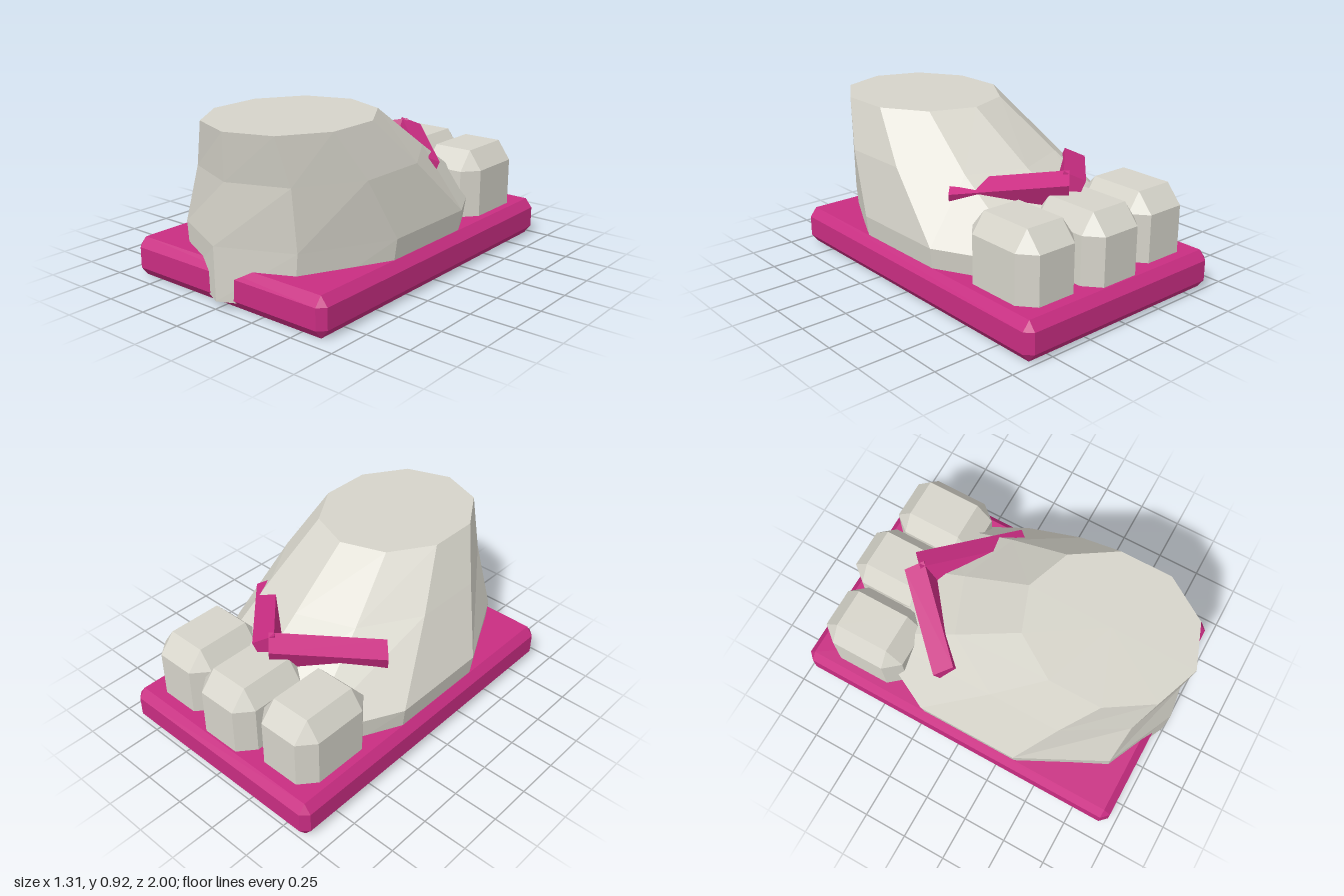
import * as THREE from 'three';
import { ConvexGeometry } from 'three/addons/geometries/ConvexGeometry.js';

const stone = new THREE.MeshStandardMaterial({ color: 0xd6d4ca, flatShading: true });
stone.name = 'pale stone';
const magenta = new THREE.MeshStandardMaterial({ color: 0xc92d82, flatShading: true });
magenta.name = 'magenta';

function part(name, geometry, material) {
  const mesh = new THREE.Mesh(geometry, material);
  mesh.name = name;
  return mesh;
}

// Box with every edge bevelled; sizes are full extents, b holds the bevel per axis
function bevelBox(w, h, d, [bx, by, bz]) {
  const points = [];
  for (const sx of [-1, 1]) for (const sy of [-1, 1]) for (const sz of [-1, 1]) {
    const x = w / 2, y = h / 2, z = d / 2;
    points.push(
      new THREE.Vector3(sx * x, sy * (y - by), sz * (z - bz)),
      new THREE.Vector3(sx * (x - bx), sy * y, sz * (z - bz)),
      new THREE.Vector3(sx * (x - bx), sy * (y - by), sz * z));
  }
  return new ConvexGeometry(points);
}

// Ten-sided faceted loft through elliptical rings, capped at both ends
function loft(rings, sides) {
  const at = (r, i) => {
    const a = (i / sides) * Math.PI * 2;
    return [r.x + r.rx * Math.sin(a), r.y, r.z + r.rz * Math.cos(a)];
  };
  const pos = [];
  const bottom = rings[0], top = rings[rings.length - 1];
  for (let i = 0; i < sides; i++) {
    for (let k = 0; k < rings.length - 1; k++) {
      const bl = at(rings[k], i), br = at(rings[k], i + 1);
      const tl = at(rings[k + 1], i), tr = at(rings[k + 1], i + 1);
      pos.push(...bl, ...br, ...tr, ...bl, ...tr, ...tl);
    }
    pos.push(top.x, top.y, top.z, ...at(top, i), ...at(top, i + 1));
    pos.push(bottom.x, bottom.y, bottom.z, ...at(bottom, i + 1), ...at(bottom, i));
  }
  const g = new THREE.BufferGeometry();
  g.setAttribute('position', new THREE.Float32BufferAttribute(pos, 3));
  g.computeVertexNormals();
  return g;
}

// Slanted, rolled strap bar; side is +1 for left, -1 for right
function strapGeometry(side) {
  const across = new THREE.Vector3(-0.08, 0.045, 0.08);
  const down = new THREE.Vector3(-0.034, -0.121, 0.034);
  const points = [];
  for (const end of [new THREE.Vector3(0.06, 0.645, -0.64), new THREE.Vector3(0.49, 0.58, -0.21)])
    for (const u of [0, 1]) for (const v of [0, 1]) {
      const p = end.clone().addScaledVector(across, u).addScaledVector(down, v);
      p.x *= side;
      points.push(p);
    }
  return new ConvexGeometry(points);
}

export function createModel() {
  const model = new THREE.Group();
  model.name = 'sandalledFoot';

  // Sole slab
  const sole = part('sole', bevelBox(1.31, 0.215, 1.955, [0.04, 0.05, 0.04]), magenta);
  sole.position.set(0, 0.1075, -0.0225);
  model.add(sole);

  // Foot, narrowing towards the ankle at the front
  model.add(part('foot', loft([
    { y: 0.04, x: 0, z: 0.07, rx: 0.62, rz: 0.925 },
    { y: 0.33, x: 0, z: 0.06, rx: 0.66, rz: 0.94 },
    { y: 0.66, x: 0.06, z: 0.32, rx: 0.54, rz: 0.65 },
    { y: 0.915, x: 0.09, z: 0.525, rx: 0.42, rz: 0.475 },
  ], 10), stone));

  // Three toes along the back edge
  const toeGeometry = bevelBox(0.375, 0.5, 0.49, [0.075, 0.105, 0.09]);
  [['rightToe', -0.385, -0.655], ['middleToe', 0, -0.705], ['leftToe', 0.385, -0.655]].forEach(([name, x, z]) => {
    const toe = part(name, toeGeometry, stone);
    toe.position.set(x, 0.335, z);
    model.add(toe);
  });

  // Straps meeting behind the middle toe
  model.add(part('leftStrap', strapGeometry(1), magenta));
  model.add(part('rightStrap', strapGeometry(-1), magenta));

  return model;
}
